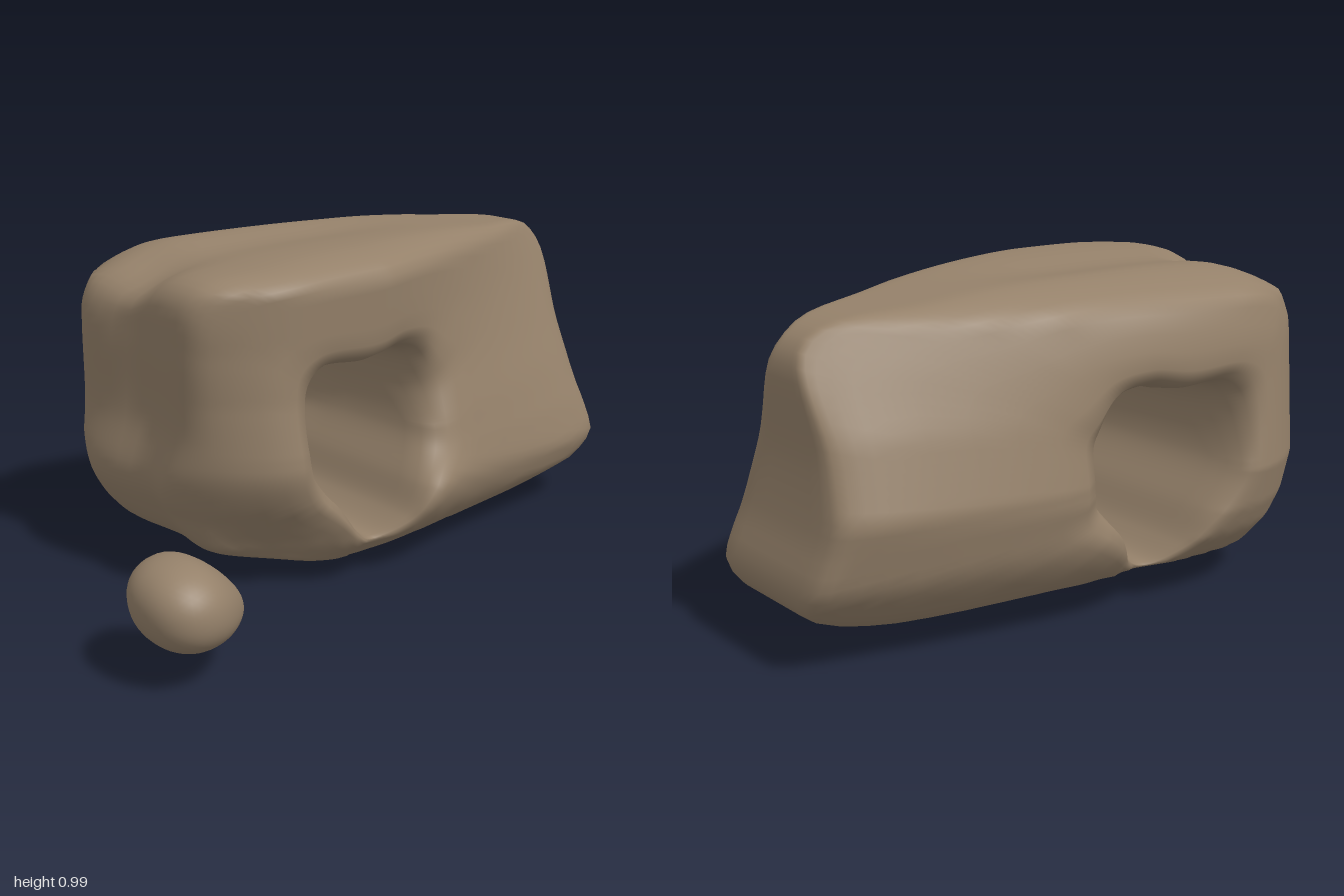
import * as THREE from 'three';
import { mergeVertices } from 'three/addons/utils/BufferGeometryUtils.js';

const { lerp, clamp, smoothstep } = THREE.MathUtils;
const stone = new THREE.MeshStandardMaterial({ color: 0x95816a });
stone.name = 'stone';

// Outline of the boulder and of its hole, as x, y pairs
const OUTLINE = [[-0.635, 0.89], [-0.59, 0.94], [-0.4, 0.97], [-0.1, 0.985], [0.3, 0.98], [0.6, 0.955], [0.88, 0.92],
  [0.95, 0.85], [0.95, 0.6], [0.97, 0.4], [1.0, 0.23], [0.95, 0.15], [0.8, 0.09], [0.5, 0.03], [0.28, 0.0],
  [0, 0.025], [-0.3, 0.07], [-0.5, 0.12], [-0.6, 0.24], [-0.63, 0.33], [-0.615, 0.5], [-0.635, 0.75]];
const HOLE = [[-0.28, 0.58], [-0.23, 0.645], [-0.08, 0.64], [0.02, 0.665], [0.11, 0.64], [0.145, 0.53], [0.14, 0.4],
  [0.08, 0.28], [0.03, 0.18], [-0.06, 0.125], [-0.14, 0.18], [-0.2, 0.28], [-0.28, 0.42]];
const CX = -0.06, CY = 0.42;

// Depth of the faces by height, as y, z pairs, at the thick and the narrow end
const FRONT_THICK = [[0, -0.01], [0.05, 0.18], [0.12, 0.27], [0.2, 0.31], [0.27, 0.33], [0.45, 0.32], [0.6, 0.3], [0.75, 0.295], [0.92, 0.31], [0.96, 0.27], [0.99, 0.2]];
const BACK_THICK = [[0, -0.03], [0.05, -0.28], [0.12, -0.46], [0.2, -0.53], [0.28, -0.57], [0.4, -0.6], [0.6, -0.585], [0.8, -0.57], [0.91, -0.54], [0.95, -0.45], [0.99, -0.33]];
const FRONT_THIN = [[0, -0.01], [0.08, 0.11], [0.15, 0.185], [0.23, 0.215], [0.35, 0.18], [0.5, 0.12], [0.9, -0.06], [0.99, -0.08]];
const BACK_THIN = [[0, -0.03], [0.08, -0.16], [0.15, -0.24], [0.25, -0.33], [0.45, -0.39], [0.65, -0.32], [0.9, -0.18], [0.99, -0.16]];

// Half of the ring's section: share of the way from hole to rim, share of the depth
const SECTION = [[0, 0], [0, 0.25], [0.01, 0.5], [0.035, 0.74], [0.08, 0.89], [0.15, 0.97], [0.25, 0.995], [0.4, 1], [0.55, 1],
  [0.7, 1], [0.8, 1], [0.87, 1], [0.92, 0.985], [0.96, 0.95], [0.985, 0.88], [0.997, 0.78], [1, 0.62], [1, 0.42], [1, 0.21], [1, 0]];

function lookUp(table, y) {
  for (let i = 1; i < table.length; i++) {
    const [y0, z0] = table[i - 1], [y1, z1] = table[i];
    if (y <= y1) return lerp(z0, z1, Math.max(0, (y - y0) / (y1 - y0)));
  }
  return table[table.length - 1][1];
}

const bell = (v, centre, width) => Math.exp(-(((v - centre) / width) ** 2));

// Distance from the hole's centre to a closed smooth outline in a given direction
function radiusFinder(points) {
  const curve = new THREE.CatmullRomCurve3(points.map(([x, y]) => new THREE.Vector3(x - CX, y - CY, 0)), true, 'centripetal');
  const p = curve.getPoints(300);
  return (angle) => {
    const dx = Math.cos(angle), dy = Math.sin(angle);
    let best = 0;
    for (let i = 1; i < p.length; i++) {
      const a = p[i - 1], b = p[i];
      const sa = a.y * dx - a.x * dy, sb = b.y * dx - b.x * dy;
      if (sa * sb > 0 || sa === sb) continue;
      const t = sa / (sa - sb);
      best = Math.max(best, (a.x + (b.x - a.x) * t) * dx + (a.y + (b.y - a.y) * t) * dy);
    }
    return best;
  };
}

// Rounding of the upright edges at the thick end, from 0 to 1
const leftRound = (x) => clamp((-x - 0.3) / 0.34, 0, 1) ** 2.2;

function frontDepth(x, y) {
  const taper = clamp((x + 0.05) / 0.98, 0, 1) ** 1.2;
  const low = bell(y, 0.24, 0.14);
  const cut = lerp(0.32, 0.13, smoothstep(y, 0.2, 0.85)) * smoothstep(y, 0, 0.25);
  const undercut = 0.17 * smoothstep(-x, 0.12, 0.45) * smoothstep(y, 0, 0.12) * (1 - smoothstep(y, 0.1, 0.42));
  return lerp(lookUp(FRONT_THICK, y), lookUp(FRONT_THIN, y), taper)
    + low * (0.05 * bell(x, 0.08, 0.2) - 0.05 * bell(x, -0.06, 0.06))
    - cut * leftRound(x) - undercut;
}

function backDepth(x, y) {
  const taper = clamp((x + 0.4) / 1.33, 0, 1) ** 1.8;
  return lerp(lookUp(BACK_THICK, y), lookUp(BACK_THIN, y), taper)
    + 0.04 * bell(x, -0.03, 0.08) * bell(y, 0.25, 0.18)
    + 0.16 * leftRound(x);
}

// The hole runs askew: each lip is sharp below and on one side, and flared opposite
function lipDepth(k, angle) {
  const side = Math.sign(k);
  const sharp = clamp(0.5 + 0.5 * (side * Math.cos(angle) - Math.sin(angle)), 0, 1);
  return side * Math.abs(k) ** lerp(1.5, 0.3, sharp);
}

// The boulder is a ring of sections swept around the hole
function boulderGeometry() {
  const rim = radiusFinder(OUTLINE), hole = radiusFinder(HOLE);
  const back = SECTION.slice(1, -1).reverse().map(([s, k]) => [s, -k]);
  const loop = [...SECTION, ...back];
  const steps = 180, n = loop.length;
  const positions = [], index = [];
  for (let i = 0; i < steps; i++) {
    const angle = (i / steps) * Math.PI * 2;
    const r0 = hole(angle), r1 = rim(angle);
    loop.forEach(([s, k], j) => {
      const r = r0 + (r1 - r0) * s;
      let x = CX + Math.cos(angle) * r, y = CY + Math.sin(angle) * r;
      const zf = frontDepth(x, y), zb = backDepth(x, y);
      const depth = s < 0.5 ? lipDepth(k, angle) : k;
      const z = (zf + zb) / 2 + depth * (zf - zb) / 2;
      // Shallow grooves along the top and down the thick end, and a lower rear corner
      const top = smoothstep(y, 0.75, 0.97), end = smoothstep(-x, 0.35, 0.62);
      y -= top * (0.02 * bell(z, -0.13, 0.12) * smoothstep(-x, -0.5, 0)
        + 0.05 * end * bell(z, -0.2, 0.14) + 0.04 * end * smoothstep(-z, 0.25, 0.5));
      x += 0.035 * end * (bell(z, -0.14, 0.11) + top * bell(z, -0.3, 0.12));
      positions.push(x, y, z);
      const a = i * n + j, b = i * n + (j + 1) % n;
      const d = ((i + 1) % steps) * n + j, c = ((i + 1) % steps) * n + (j + 1) % n;
      index.push(a, b, c, a, c, d);
    });
  }
  const geometry = new THREE.BufferGeometry();
  geometry.setAttribute('position', new THREE.Float32BufferAttribute(positions, 3));
  geometry.setIndex(index);
  geometry.computeVertexNormals();
  return geometry;
}

// The pebble is a slightly boxy ball with a low, narrowing snout towards +x
function pebbleGeometry() {
  let geometry = new THREE.IcosahedronGeometry(1, 8);
  geometry.deleteAttribute('normal');
  geometry.deleteAttribute('uv');
  geometry = mergeVertices(geometry, 1e-4);
  const p = geometry.attributes.position, v = new THREE.Vector3();
  for (let i = 0; i < p.count; i++) {
    v.fromBufferAttribute(p, i);
    const sum = Math.abs(v.x) ** 2.2 + Math.abs(v.y) ** 2.2 + Math.abs(v.z) ** 2.2;
    v.multiplyScalar(sum ** (-1 / 2.2));
    const snout = Math.max(0, v.x) ** 2;
    p.setXYZ(i,
      -0.86 + v.x * 0.138 + snout * 0.04 - v.y * 0.015,
      0.215 + v.y * 0.122 * (1 - 0.3 * snout) - snout * 0.045,
      0.44 + v.z * 0.16 * (1 - 0.3 * snout) - v.x * 0.02);
  }
  geometry.computeVertexNormals();
  return geometry;
}

export function createModel() {
  const model = new THREE.Group();
  model.name = 'piercedRock';
  const parts = { boulder: boulderGeometry(), pebble: pebbleGeometry() };
  for (const [name, geometry] of Object.entries(parts)) {
    const mesh = new THREE.Mesh(geometry, stone);
    mesh.name = name;
    model.add(mesh);
  }
  return model;
}
